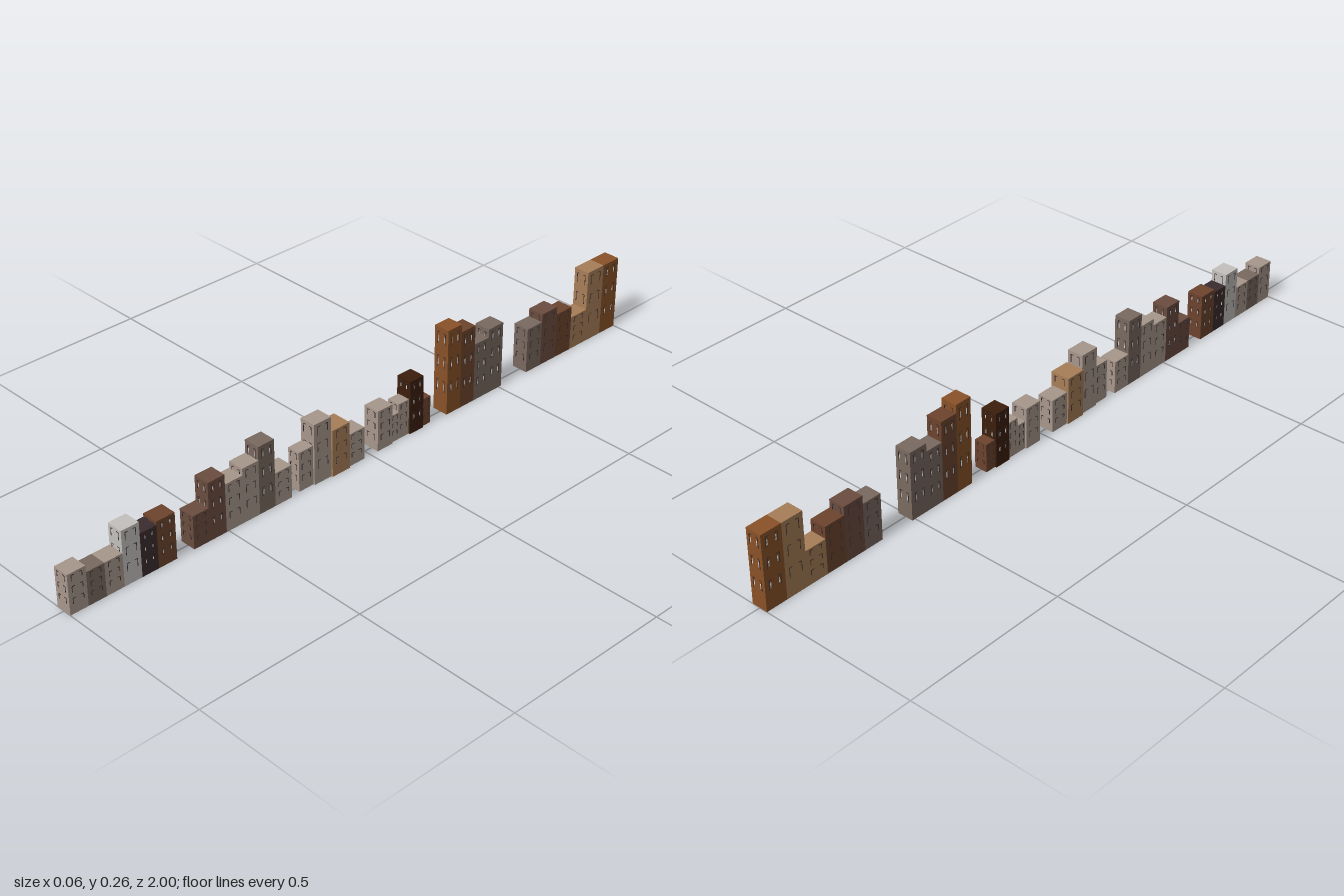
import * as THREE from 'three';

const mat = (name, color) => Object.assign(new THREE.MeshStandardMaterial({ color }), { name });

export function createModel() {
  const M = {
    taupe: mat('taupe plaster', 0xa8988c),
    stone: mat('grey brown stone', 0x7a6a60),
    pale: mat('pale grey', 0xc4c1be),
    plum: mat('dark plum', 0x3a2c2e),
    umber: mat('umber brick', 0x6b4d40),
    russet: mat('russet brick', 0x6d442d),
    tan: mat('tan plaster', 0xa87f58),
    espresso: mat('espresso', 0x3b1e0c),
    rust: mat('rust brick', 0x8a5228),
    pane: mat('window pane', 0xd2d4d6),
  };
  // [front z, back z, height, colour, width, lit windows]
  const row = [
    [1, 0.945, 0.12, 'taupe'], [0.945, 0.89, 0.1, 'stone'], [0.89, 0.835, 0.1, 'taupe'],
    [0.835, 0.78, 0.165, 'pale'], [0.78, 0.728, 0.13, 'plum', 0.05, 1], [0.728, 0.67, 0.14, 'russet', 0.05, 1],
    [0.615, 0.563, 0.1, 'umber'], [0.563, 0.508, 0.175, 'umber', 0.05, 1], [0.508, 0.45, 0.145, 'taupe'],
    [0.45, 0.396, 0.165, 'taupe'], [0.396, 0.342, 0.205, 'stone', 0.05, 1], [0.342, 0.285, 0.1, 'taupe'],
    [0.255, 0.205, 0.12, 'taupe', 0.04], [0.205, 0.145, 0.185, 'taupe'],
    [0.145, 0.083, 0.143, 'tan', 0.06], [0.083, 0.025, 0.1, 'taupe'],
    [-0.025, -0.08, 0.125, 'taupe'], [-0.08, -0.108, 0.085, 'taupe', 0.04], [-0.108, -0.147, 0.11, 'taupe', 0.04],
    [-0.147, -0.197, 0.165, 'espresso', 0.05, 1], [-0.197, -0.23, 0.085, 'russet', 0.04],
    [-0.29, -0.343, 0.265, 'rust', 0.05, 1], [-0.343, -0.397, 0.24, 'russet', 0.05, 1],
    [-0.397, -0.452, 0.18, 'stone', 0.05, 1], [-0.452, -0.51, 0.205, 'stone', 0.05, 1],
    [-0.615, -0.675, 0.14, 'stone'], [-0.675, -0.738, 0.165, 'umber'], [-0.738, -0.802, 0.14, 'russet'],
    [-0.802, -0.868, 0.105, 'tan'], [-0.868, -0.935, 0.225, 'tan'], [-0.935, -1, 0.225, 'rust', 0.05, 1],
  ];
  const box = new THREE.BoxGeometry(1, 1, 1);
  const add = (parent, name, material, x, y, z, w, h, d) => {
    const m = new THREE.Mesh(box, material);
    m.name = name;
    m.position.set(x, y, z);
    m.scale.set(w, h, d);
    parent.add(m);
  };

  // three floors of paired windows on one wall, facing its own +z
  const windows = (wall, w, h, lit, dark) => {
    const t = 0.0016, wh = 0.135 * h, ww = 0.15 * w;
    for (const level of [0.875, 0.6, 0.315]) for (const side of [-1, 1]) {
      const y = level * h, outer = side * 0.29 * w;
      add(wall, 'windowJamb', dark, outer, y, 0, t, wh, 0.0016);
      add(wall, 'windowLintel', dark, outer - side * ww / 2, y + wh / 2, 0, ww, t, 0.0016);
      if (lit) add(wall, 'windowPane', M.pane, outer - side * ww * 0.5, y - wh * 0.05, 0, 0.05 * w, wh * 0.5, 0.0012);
    }
  };

  const group = new THREE.Group();
  group.name = 'buildingRow';
  for (const [z0, z1, h, colour, w = 0.05, lit = 0] of row) {
    const b = new THREE.Group();
    b.name = 'building';
    b.position.z = (z0 + z1) / 2;
    const d = z0 - z1;
    add(b, 'walls', M[colour], 0, h / 2, 0, w, h, d);
    const dark = colour === 'plum' ? M.espresso : M.plum;
    // windows on all four walls
    for (let i = 0; i < 4; i++) {
      const wall = new THREE.Group(), a = i * Math.PI / 2;
      wall.name = 'windowWall';
      wall.rotation.y = a;
      wall.position.set(Math.sin(a) * w / 2, 0, Math.cos(a) * d / 2);
      // plates on the outermost ends stay flush with the wall line
      windows(wall, i % 2 ? d : w, h, lit, dark);
      b.add(wall);
    }
    group.add(b);
  }
  return group;
}
